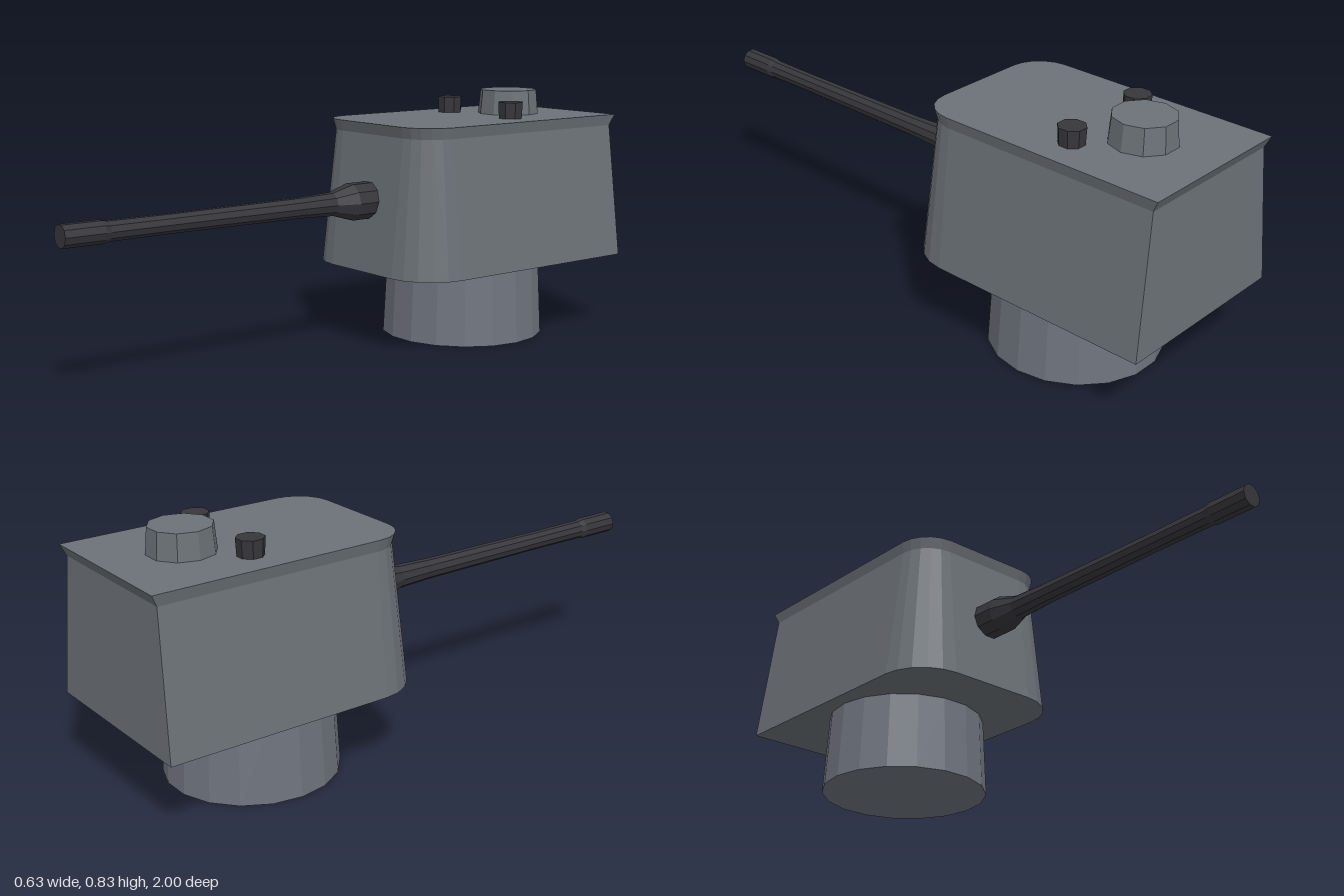
import * as THREE from 'three';

const flat = (name, color) => {
  const m = new THREE.MeshStandardMaterial({ color });
  m.name = name;
  m.flatShading = true;
  return m;
};

// Horizontal outline of the housing: square rear corners, rounded front corners
function housingRing({ y, half, rear, front, radius }) {
  const ring = [[half, y, rear]];
  const steps = 5;
  for (const side of [1, -1]) {
    for (let i = 0; i <= steps; i++) {
      const t = (side > 0 ? i : steps - i) / steps * Math.PI / 2;
      ring.push([
        side * (half - radius + radius * Math.cos(t)), y,
        front - radius + radius * Math.sin(t),
      ]);
    }
  }
  ring.push([-half, y, rear]);
  return ring;
}

// Skin stacked rings and close both ends
function loft(rings) {
  const pos = [];
  const n = rings[0].length;
  const tri = (a, b, c) => pos.push(...a, ...b, ...c);
  for (let k = 0; k < rings.length - 1; k++) {
    const lo = rings[k], hi = rings[k + 1];
    for (let i = 0; i < n; i++) {
      const j = (i + 1) % n;
      tri(lo[i], hi[i], hi[j]);
      tri(lo[i], hi[j], lo[j]);
    }
  }
  const bottom = rings[0], top = rings[rings.length - 1];
  for (let i = 1; i < n - 1; i++) {
    tri(bottom[0], bottom[i], bottom[i + 1]);
    tri(top[0], top[i + 1], top[i]);
  }
  const g = new THREE.BufferGeometry();
  g.setAttribute('position', new THREE.Float32BufferAttribute(pos, 3));
  g.computeVertexNormals();
  return g;
}

export function createModel() {
  const group = new THREE.Group();
  group.name = 'gunTurret';
  const hullGrey = flat('hullGrey', 0x6c7278);
  const baseGrey = flat('baseGrey', 0x6f747e);
  const gunmetal = flat('gunmetal', 0x37363b);

  const add = (name, geometry, material, x = 0, y = 0, z = 0) => {
    const mesh = new THREE.Mesh(geometry, material);
    mesh.name = name;
    mesh.position.set(x, y, z);
    group.add(mesh);
  };
  // Faceted drum with one flat facet facing forward
  const drum = (name, rTop, rBottom, y0, y1, sides, material, x, z) =>
    add(name, new THREE.CylinderGeometry(rTop, rBottom, y1 - y0, sides, 1, false, Math.PI / sides),
      material, x, (y0 + y1) / 2, z);

  // Pedestal
  drum('pedestal', 0.264, 0.277, 0, 0.257, 18, baseGrey, 0, -0.54);

  // Tapered housing with a flared roof lip
  add('housing', loft([
    { y: 0.257, half: 0.315, rear: -0.995, front: -0.09, radius: 0.16 },
    { y: 0.708, half: 0.265, rear: -0.982, front: -0.135, radius: 0.11 },
    { y: 0.745, half: 0.273, rear: -1.0, front: -0.125, radius: 0.115 },
  ].map(housingRing)), hullGrey);

  // Roof cupola and a pair of periscopes
  drum('cupola', 0.098, 0.106, 0.74, 0.828, 10, hullGrey, 0, -0.75);
  for (const side of [1, -1]) {
    drum(side > 0 ? 'leftPeriscope' : 'rightPeriscope',
      0.044, 0.041, 0.74, 0.8, 8, gunmetal, side * 0.152, -0.613);
  }

  // Gun barrel: mantlet collar, taper, tube, muzzle
  const profile = [
    [0, -0.16], [0.062, -0.16], [0.062, -0.04], [0.039, 0.035], [0.034, 0.165],
    [0.031, 0.65], [0.032, 0.85], [0.036, 0.87], [0.036, 1], [0, 1],
  ].map(([r, z]) => new THREE.Vector2(r, z));
  const barrel = new THREE.LatheGeometry(profile, 10, Math.PI / 10);
  barrel.rotateX(Math.PI / 2);
  add('barrel', barrel, gunmetal, 0, 0.494, 0);

  return group;
}
